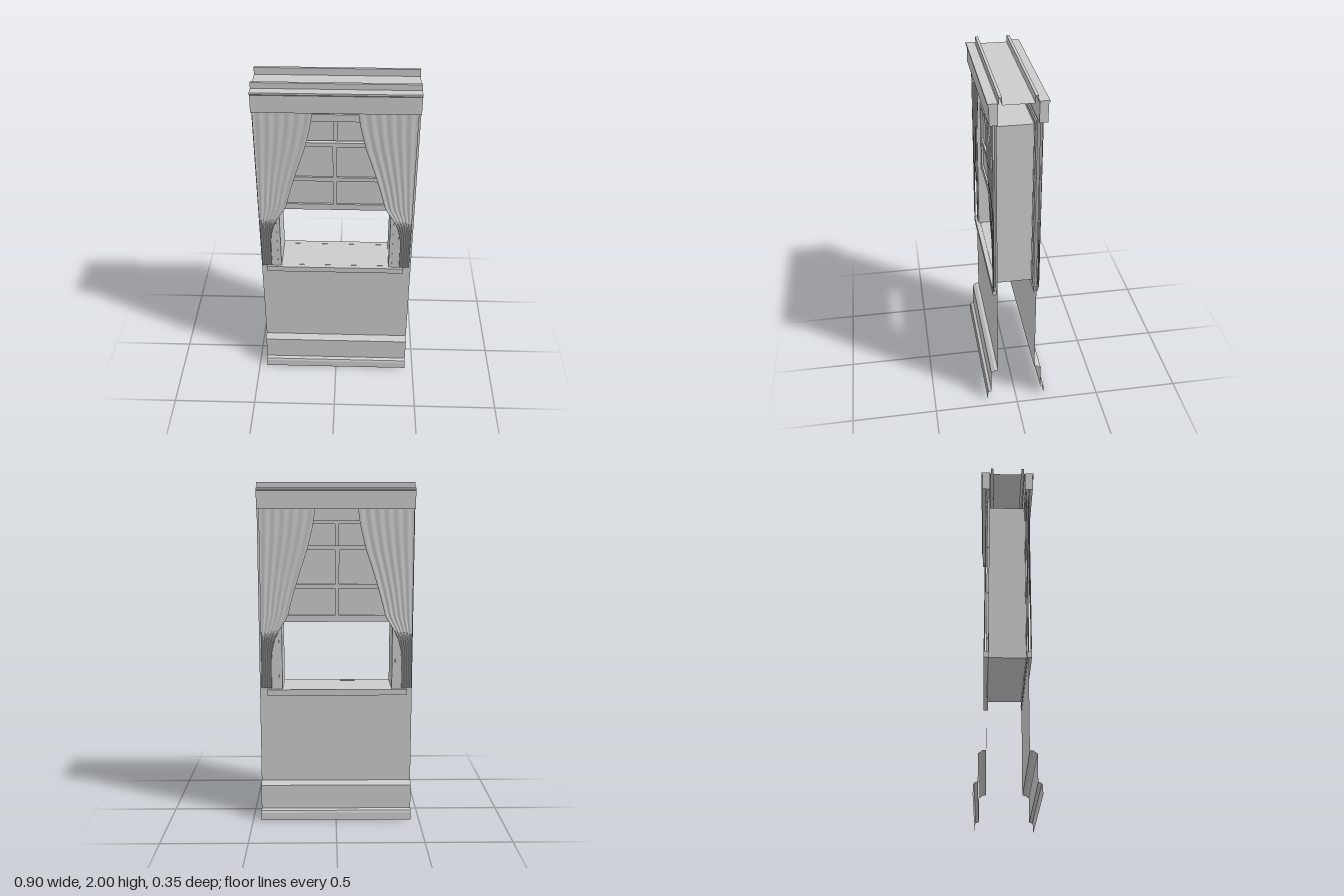
import * as THREE from 'three';

const grey = new THREE.MeshStandardMaterial({ color: 0xcccccc, side: THREE.DoubleSide });
const paneGrey = new THREE.MeshStandardMaterial({ color: 0xf5f5f5, side: THREE.DoubleSide });

const HALF = 0.45;      // half width of the wall
const WALL_Z = 0.112;   // distance of each wall sheet from the middle
const OPEN = 0.323;     // half width of the window opening
const SILL_Y = 0.8, HEAD_Y = 1.79;

function add(parent, name, geometry, material = grey) {
  const mesh = new THREE.Mesh(geometry, material);
  mesh.name = name;
  parent.add(mesh);
  return mesh;
}

// Box given by its limits on each axis
function box(parent, name, x0, x1, y0, y1, z0, z1, material) {
  const mesh = add(parent, name, new THREE.BoxGeometry(x1 - x0, y1 - y0, z1 - z0), material);
  mesh.position.set((x0 + x1) / 2, (y0 + y1) / 2, (z0 + z1) / 2);
  return mesh;
}

// Open moulding: a [z, y] profile swept across the full width
function moulding(parent, name, profile) {
  const g = new THREE.PlaneGeometry(1, 1, 1, profile.length - 1);
  const p = g.attributes.position;
  for (let i = 0; i < p.count; i++) {
    const [z, y] = profile[Math.floor(i / 2)];
    p.setXYZ(i, i % 2 ? HALF : -HALF, y, z);
  }
  const flat = g.toNonIndexed();
  flat.computeVertexNormals();
  return add(parent, name, flat);
}

// Inner edge of a curtain: [y, distance from window centre]
const drape = [
  [0.81, 0.382], [0.96, 0.382], [1.036, 0.377], [1.11, 0.358], [1.17, 0.325], [1.233, 0.284],
  [1.3, 0.268], [1.386, 0.244], [1.487, 0.213], [1.625, 0.167], [1.757, 0.135], [1.86, 0.12],
];
function drapeEdge(y) {
  let i = 0;
  while (i < drape.length - 2 && y > drape[i + 1][0]) i++;
  const [y0, a] = drape[i], [y1, b] = drape[i + 1];
  return THREE.MathUtils.lerp(a, b, (y - y0) / (y1 - y0));
}

// Gathered cloth with shallow folds
function curtain(parent, name, side, cx) {
  const g = new THREE.PlaneGeometry(1, 1, 48, 36);
  const p = g.attributes.position;
  for (let i = 0; i < p.count; i++) {
    const u = p.getX(i) + 0.5, y = 0.81 + (p.getY(i) + 0.5) * 1.05;
    const t = side > 0 ? u : 1 - u; // 0 at the inner edge
    const x = THREE.MathUtils.lerp(drapeEdge(y), 0.442, t);
    p.setXYZ(i, cx + side * x, y, 0.129 + 0.002 * Math.sin(t * Math.PI * 12));
  }
  g.computeVertexNormals();
  add(parent, name, g);
}

// Glazed sash: frame, one upright bar and horizontal bars
function sash(parent, name, cx, y0, y1, z0, z1, bars) {
  const s = new THREE.Group();
  s.name = name;
  parent.add(s);
  const zm = (z0 + z1) / 2;
  box(s, 'bottomRail', cx - OPEN, cx + OPEN, y0, y0 + 0.038, z0, z1);
  box(s, 'topRail', cx - OPEN, cx + OPEN, y1 - 0.026, y1, z0, z1);
  for (const d of [-1, 1]) {
    const x = cx + d * (OPEN - 0.015);
    box(s, 'stile', x - 0.015, x + 0.015, y0, y1, z0, z1);
  }
  box(s, 'uprightBar', cx - 0.012, cx + 0.012, y0, y1, z0, z1);
  for (const y of bars) box(s, 'crossBar', cx - OPEN, cx + OPEN, y - 0.013, y + 0.013, z0, z1);
  box(s, 'pane', cx - OPEN, cx + OPEN, y0 + 0.01, y1 - 0.01, zm - 0.002, zm + 0.002, paneGrey);
}

// One face of the wall, with everything fixed to it
function wallFace(name, cx) {
  const f = new THREE.Group();
  f.name = name;

  // Wall sheet with window hole
  const shape = new THREE.Shape();
  shape.moveTo(-HALF, 0.225).lineTo(HALF, 0.225).lineTo(HALF, 1.965).lineTo(-HALF, 1.965).closePath();
  const hole = new THREE.Path();
  hole.moveTo(cx - OPEN, SILL_Y).lineTo(cx - OPEN, HEAD_Y).lineTo(cx + OPEN, HEAD_Y).lineTo(cx + OPEN, SILL_Y).closePath();
  shape.holes.push(hole);
  add(f, 'wall', new THREE.ShapeGeometry(shape)).position.z = WALL_Z;

  moulding(f, 'baseboard', [[WALL_Z, 0.23], [0.13, 0.228], [0.152, 0.212], [0.152, 0.066], [0.17, 0.058], [0.175, 0.045], [0.176, 0]]);
  moulding(f, 'topLip', [[WALL_Z, 1.965], [0.1, 1.965], [0.1, 2], [0.084, 2], [0.084, 1.96]]);

  // Window casing: flat boards with a thinner inner bead
  for (const d of [-1, 1]) {
    const a = cx + d * 0.378, b = cx + d * 0.342, c = cx + d * OPEN;
    box(f, 'sideCasing', Math.min(a, b), Math.max(a, b), SILL_Y, 1.83, 0.105, 0.119);
    box(f, 'sideBead', Math.min(b, c), Math.max(b, c), SILL_Y, 1.806, 0.103, 0.115);
  }
  box(f, 'headCasing', cx - 0.378, cx + 0.378, 1.806, 1.83, 0.105, 0.119);
  box(f, 'headBead', cx - 0.342, cx + 0.342, HEAD_Y - 0.005, 1.806, 0.103, 0.115);
  box(f, 'sill', cx - 0.411, cx + 0.411, 0.765, SILL_Y, 0.105, 0.132);

  // Raised lower sash in front of the upper one
  sash(f, 'lowerSash', cx, 1.2, 1.643, 0.068, 0.094, [1.407]);
  sash(f, 'upperSash', cx, 1.215, HEAD_Y, 0.03, 0.056, []);

  curtain(f, 'leftCurtain', 1, cx / 2);
  curtain(f, 'rightCurtain', -1, cx / 2);

  // Pelmet over the curtains, flaring at its top edge
  const prof = new THREE.Shape();
  prof.moveTo(0.105, 1.852).lineTo(0.15, 1.852).lineTo(0.151, 1.953).lineTo(0.157, 1.96).lineTo(0.157, 1.97).lineTo(0.105, 1.97).closePath();
  const g = new THREE.ExtrudeGeometry(prof, { depth: 2 * HALF, bevelEnabled: false });
  g.rotateY(-Math.PI / 2); // profile x becomes z, sweep runs along -x
  g.translate(HALF, 0, 0);
  add(f, 'pelmet', g);
  return f;
}

export function createModel() {
  const model = new THREE.Group();
  model.name = 'windowWall';
  const cx = -0.007;

  model.add(wallFace('frontFace', cx));
  const back = wallFace('backFace', -cx);
  back.rotation.y = Math.PI;
  model.add(back);

  // Lining of the opening between both faces
  const lining = new THREE.Group();
  lining.name = 'windowLining';
  model.add(lining);
  const w = OPEN + 0.012, z = 0.104;
  box(lining, 'jamb', cx - w, cx - OPEN, SILL_Y, HEAD_Y, -z, z);
  box(lining, 'jamb', cx + OPEN, cx + w, SILL_Y, HEAD_Y, -z, z);
  box(lining, 'liningBottom', cx - w, cx + w, SILL_Y - 0.004, SILL_Y, -z, z);
  box(lining, 'liningTop', cx - w, cx + w, HEAD_Y - 0.004, HEAD_Y, -z, z);

  // Flat cover closing the top
  moulding(model, 'topCover', [[-0.084, 1.96], [0.084, 1.96]]);
  return model;
}
